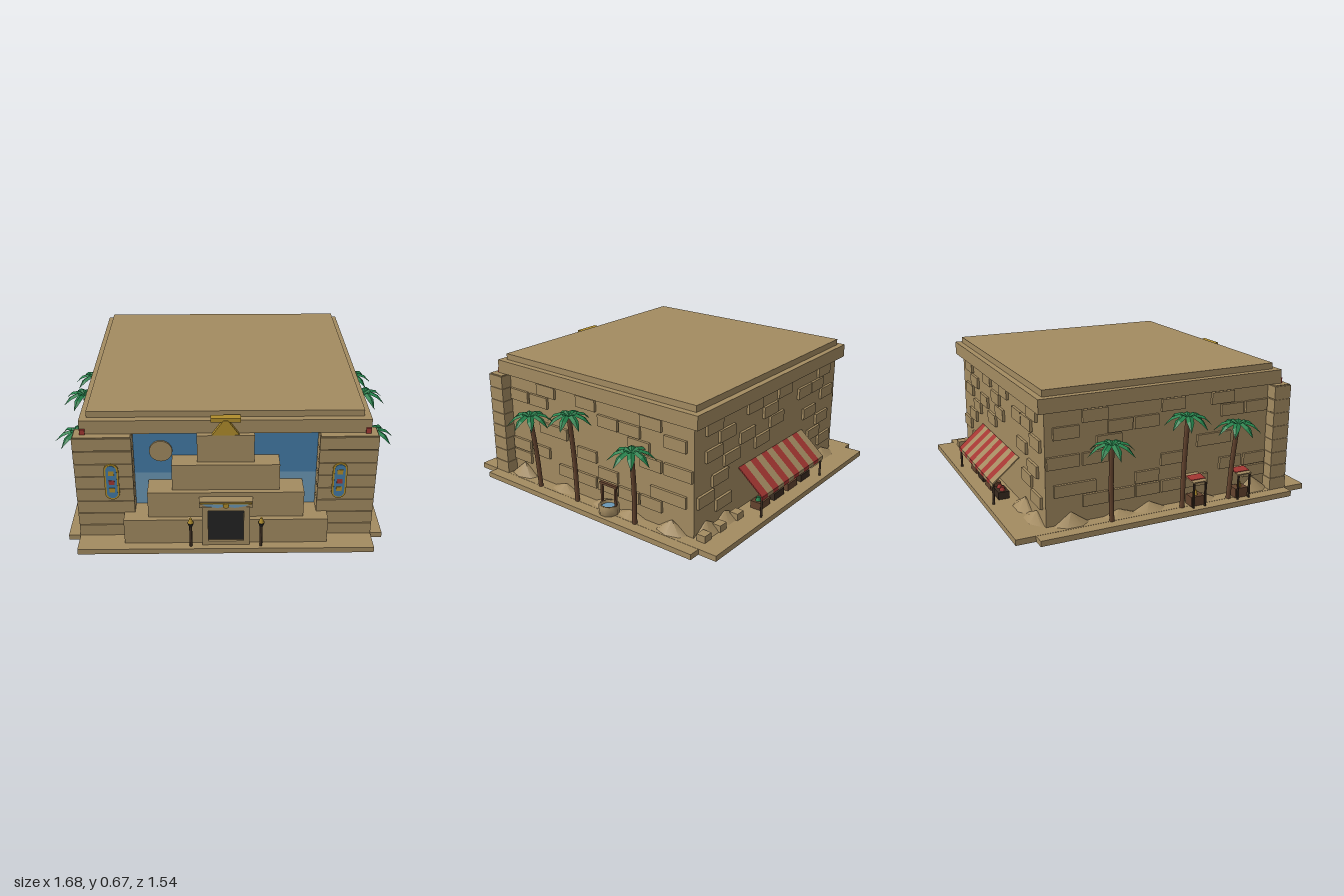
import * as THREE from 'three';

const mat = (name, color, double = false) => {
  const m = new THREE.MeshStandardMaterial({ color, side: double ? THREE.DoubleSide : THREE.FrontSide });
  m.name = name;
  return m;
};

export function createModel() {
  const sand = mat('sandstone', 0xa38b61, true);
  const blue = mat('deep blue', 0x437ba6);
  const pale = mat('pale blue', 0x6b98b6);
  const gold = mat('gold', 0xb08d2c);
  const red = mat('red', 0xa33632, true);
  const brown = mat('wood', 0x63432e);
  const dark = mat('dark wood', 0x3a2c20);
  const black = mat('black', 0x232323);
  const green = mat('palm green', 0x23804a, true);

  const root = new THREE.Group();
  const group = (name, parent = root) => {
    const g = new THREE.Group();
    g.name = name;
    parent.add(g);
    return g;
  };
  const add = (parent, name, geo, m, x = 0, y = 0, z = 0) => {
    const mesh = new THREE.Mesh(geo, m);
    mesh.name = name;
    mesh.position.set(x, y, z);
    parent.add(mesh);
    return mesh;
  };
  // Box given by its lower and upper corners
  const box = (parent, name, m, x0, x1, y0, y1, z0, z1) =>
    add(parent, name, new THREE.BoxGeometry(x1 - x0, y1 - y0, z1 - z0), m,
      (x0 + x1) / 2, (y0 + y1) / 2, (z0 + z1) / 2);
  const cyl = (parent, name, m, r0, r1, h, x, y, z, n = 8) =>
    add(parent, name, new THREE.CylinderGeometry(r1, r0, h, n), m, x, y + h / 2, z);

  // Base, hall and roof
  box(root, 'baseLong', sand, -0.70, 0.70, 0, 0.028, -0.765, 0.78);
  box(root, 'baseWide', sand, -0.757, 0.757, 0, 0.027, -0.67, 0.665);
  box(root, 'hall', sand, -0.64, 0.64, 0.02, 0.58, -0.6, 0.585);
  box(root, 'cornice', sand, -0.667, 0.667, 0.568, 0.636, -0.635, 0.63);
  box(root, 'roofSlab', sand, -0.635, 0.635, 0.636, 0.667, -0.605, 0.597);

  // Painted wall behind the steps
  box(root, 'paintedWallUpper', blue, -0.44, 0.44, 0.335, 0.57, 0.585, 0.592);
  box(root, 'paintedWallLower', pale, -0.44, 0.44, 0.025, 0.335, 0.585, 0.592);
  const sun = add(root, 'sunDisc', new THREE.CylinderGeometry(0.054, 0.054, 0.012, 24), sand, -0.302, 0.457, 0.596);
  sun.rotation.x = Math.PI / 2;

  // Stepped front
  [[0.48, 0.16, 0.733], [0.365, 0.295, 0.707], [0.25, 0.43, 0.682], [0.132, 0.57, 0.655]].forEach(([w, h, z], i, all) =>
    box(root, 'frontStep', sand, -w, w, i ? all[i - 1][1] : 0.025, h, 0.58, z));

  // Corner towers in stone courses, each with a painted panel
  const pill = (r, half) => {
    const s = new THREE.Shape();
    s.absarc(0, half, r, 0, Math.PI);
    s.absarc(0, -half, r, Math.PI, Math.PI * 2);
    return s;
  };
  const plate = (shape, depth) => new THREE.ExtrudeGeometry(shape, { depth, bevelEnabled: false, curveSegments: 6 });
  for (const s of [-1, 1]) {
    const tower = group(s > 0 ? 'towerLeft' : 'towerRight');
    box(tower, 'core', sand, s * 0.565 - 0.131, s * 0.565 + 0.131, 0.025, 0.567, 0.578, 0.662);
    const step = 0.542 / 8;
    for (let i = 0; i < 8; i++)
      box(tower, 'course', sand, s * 0.565 - 0.135, s * 0.565 + 0.135, 0.025 + i * step,
        0.025 + (i + 1) * step - 0.005, 0.574, 0.667);
    add(tower, 'panelRim', plate(pill(0.034, 0.063), 0.006), gold, s * 0.53, 0.335, 0.667);
    add(tower, 'panel', plate(pill(0.025, 0.063), 0.002), blue, s * 0.53, 0.335, 0.673);
    [[0.05, gold], [0.033, null], [0, red], [-0.042, gold]].forEach(([dy, m]) => m &&
      box(tower, 'inlay', m, s * 0.53 - 0.013, s * 0.53 + 0.013, 0.322 + dy, 0.346 + dy, 0.674, 0.678));
    box(tower, 'redMarker', red, s * 0.653 - 0.012, s * 0.653 + 0.012, 0.567, 0.594, 0.61, 0.638);
  }

  // Doorway with winged lintel
  const door = group('doorway');
  for (const s of [-1, 1]) box(door, 'jamb', sand, s * 0.097 - 0.014, s * 0.097 + 0.014, 0.025, 0.24, 0.72, 0.752);
  box(door, 'header', sand, -0.111, 0.111, 0.224, 0.245, 0.72, 0.752);
  box(door, 'threshold', sand, -0.111, 0.111, 0.025, 0.05, 0.72, 0.75);
  box(door, 'door', black, -0.083, 0.083, 0.05, 0.224, 0.73, 0.74);
  box(door, 'lintel', sand, -0.125, 0.125, 0.24, 0.273, 0.70, 0.75);
  for (const s of [-1, 1]) {
    const wing = new THREE.Shape([[0, 0.25], [0.04, 0.242], [0.09, 0.25], [0.12, 0.268], [0, 0.264]]
      .map(([x, y]) => new THREE.Vector2(s * x, y)));
    add(door, 'wing', plate(wing, 0.004), pale, 0, 0, 0.75);
    box(door, 'wingTrim', gold, Math.min(0, s * 0.12), Math.max(0, s * 0.12), 0.263, 0.268, 0.75, 0.757);
  }
  const disc = add(door, 'lintelDisc', new THREE.CylinderGeometry(0.014, 0.014, 0.008, 12), gold, 0, 0.255, 0.755);
  disc.rotation.x = Math.PI / 2;

  // Torches
  for (const s of [-1, 1]) {
    const t = group('torch');
    cyl(t, 'pole', dark, 0.007, 0.007, 0.13, s * 0.165, 0.025, 0.757);
    cyl(t, 'bowl', black, 0.008, 0.016, 0.022, s * 0.165, 0.14, 0.757);
    cyl(t, 'flame', gold, 0.014, 0.005, 0.025, s * 0.165, 0.162, 0.757);
  }

  // Golden roof emblem
  const emblem = group('emblem');
  const fan = new THREE.Shape();
  fan.moveTo(-0.068, 0.562);
  fan.lineTo(0.068, 0.562);
  fan.lineTo(0.01, 0.645);
  fan.lineTo(-0.01, 0.645);
  add(emblem, 'fan', plate(fan, 0.02), gold, 0, 0, 0.632);
  box(emblem, 'bar', gold, -0.068, 0.068, 0.636, 0.656, 0.615, 0.65);

  // Raised bricks: [centre along the wall, centre height, length]
  const sideBricks = [[0.31, 0.53], [0.04, 0.53], [-0.36, 0.53], [0.505, 0.465], [0.365, 0.465], [-0.1, 0.465],
    [-0.235, 0.465], [-0.5, 0.465], [0.235, 0.33], [-0.36, 0.33], [-0.545, 0.33, 0.1], [0.04, 0.265], [0.505, 0.195],
    [0.365, 0.195], [-0.095, 0.195], [-0.5, 0.195], [-0.42, 0.195], [0.175, 0.13], [0.045, 0.13], [-0.09, 0.13],
    [-0.225, 0.13], [-0.36, 0.13], [0.505, 0.13], [-0.5, 0.33], [0.3, 0.33], [-0.29, 0.4]];
  const backBricks = [[-0.5, 0.53], [-0.1, 0.53], [0.17, 0.53], [0.5, 0.53], [-0.43, 0.465], [-0.3, 0.465],
    [0.03, 0.465], [0.4, 0.465], [-0.54, 0.4], [-0.03, 0.4], [0.23, 0.4], [0.5, 0.4], [-0.36, 0.335], [0.1, 0.335],
    [0.36, 0.335], [-0.5, 0.265], [0.45, 0.265], [0.56, 0.195], [-0.42, 0.195], [0.42, 0.13], [-0.54, 0.13]];
  const bricks = group('wallBricks');
  for (const [a, y, w = 0.124] of sideBricks)
    for (const s of [-1, 1])
      add(bricks, 'sideBrick', new THREE.BoxGeometry(0.022, 0.058, w), sand, s * 0.642, y, a);
  for (const [a, y] of backBricks)
    add(bricks, 'backBrick', new THREE.BoxGeometry(0.124, 0.058, 0.022), sand, a, y, -0.602);

  // Sand drifts along the walls
  const drift = (x, z, along, across, h, turn) => {
    const d = add(root, 'sandDrift', new THREE.ConeGeometry(1, 1, 7), sand, x, 0.025 + h / 2, z);
    d.scale.set(along, h, across);
    d.rotation.y = turn;
  };
  for (const s of [-1, 1])
    [[0.5, 0.07], [0.2, 0.035], [-0.08, 0.04], [-0.24, 0.03], [-0.48, 0.06]].forEach(([z, h]) =>
      drift(s * 0.645, z, 0.09, 0.055, h, Math.PI / 2));
  [-0.53, -0.38, 0.4, 0.55].forEach((x, i) => drift(x, -0.605, 0.1, 0.06, 0.045 + 0.012 * (i % 2), 0));

  // One folded, drooping frond pointing along +x
  const frondGeo = () => {
    const rows = [[0, 0, 0.006], [0.035, 0.016, 0.017], [0.075, 0.002, 0.017], [0.114, -0.042, 0]];
    const pos = [], index = [];
    rows.forEach(([r, y, w], i) => {
      pos.push(r, y - w * 0.5, -w, r, y, 0, r, y - w * 0.5, w);
      if (i) for (const k of [0, 1]) {
        const a = (i - 1) * 3 + k, b = i * 3 + k;
        index.push(a, a + 1, b, b, a + 1, b + 1);
      }
    });
    let g = new THREE.BufferGeometry();
    g.setAttribute('position', new THREE.Float32BufferAttribute(pos, 3));
    g.setIndex(index);
    g = g.toNonIndexed();
    g.computeVertexNormals();
    return g;
  };
  const frond = frondGeo();

  // Palms on both sides
  for (const s of [-1, 1])
    [[0.345, 0.33, 0.415], [0.07, 0.07, 0.485], [-0.315, -0.3, 0.405]].forEach(([z, zBase, h], i) => {
      const palm = group('palm');
      const path = new THREE.CatmullRomCurve3([new THREE.Vector3(s * 0.697, 0.025, zBase),
        new THREE.Vector3(s * 0.705, h * 0.5, (z + zBase) / 2), new THREE.Vector3(s * 0.728, h, z)]);
      add(palm, 'trunk', new THREE.TubeGeometry(path, 6, 0.012, 7), brown);
      const crown = group('crown', palm);
      crown.position.set(s * 0.728, h, z);
      for (let k = 0; k < 8; k++)
        add(crown, 'frond', frond, green).rotation.y = k * Math.PI / 4 + i * 0.3 + 0.1;
    });

  // Well on the left side
  const well = group('well');
  const ring = new THREE.LatheGeometry([[0.036, 0.025], [0.05, 0.025], [0.05, 0.072], [0.036, 0.072], [0.036, 0.025]]
    .map(([x, y]) => new THREE.Vector2(x, y)), 10);
  add(well, 'ring', ring, sand, 0.69, 0, -0.133);
  cyl(well, 'water', pale, 0.037, 0.037, 0.035, 0.69, 0.025, -0.133, 10);
  for (const s of [-1, 1]) box(well, 'post', brown, 0.682, 0.694, 0.025, 0.17, -0.133 + s * 0.043 - 0.005, -0.133 + s * 0.043 + 0.005);
  box(well, 'crossbar', brown, 0.68, 0.696, 0.166, 0.178, -0.186, -0.08);

  // Striped awning on the back: slanted cloth strips, valance and poles
  const market = group('backAwning');
  const strips = 12, span = 0.59, w = span / strips;
  const slope = Math.hypot(0.135, 0.115);
  for (let i = 0; i < strips; i++) {
    const x = -0.297 + (i + 0.5) * w;
    const m = i % 2 ? red : sand;
    const cloth = add(market, 'awningStrip', new THREE.BoxGeometry(w, 0.006, slope), m, x, 0.193, -0.669);
    cloth.rotation.x = -Math.atan2(0.115, 0.135);
    box(market, 'valance', m, x - w / 2, x + w / 2, 0.118, 0.137, -0.739, -0.734);
  }
  for (const s of [-1, 1]) cyl(market, 'pole', dark, 0.006, 0.006, 0.11, s * 0.285, 0.025, -0.732, 6);
  // Goods under the awning
  [-0.2, -0.07, 0.06, 0.19].forEach((x, i) => {
    box(market, 'crate', i % 2 ? brown : dark, x - 0.045, x + 0.045, 0.025, 0.065, -0.695, -0.64);
    for (const d of [-0.02, 0.02]) cyl(market, 'goods', [red, gold, sand, green][i], 0.015, 0.009, 0.018, x + d, 0.065, -0.667, 7);
  });
  [0.36, 0.5, 0.62].forEach(x => box(market, 'stoneBlock', sand, x - 0.025, x + 0.025, 0.025, 0.062, -0.665, -0.62));

  // Two small stalls on the right side
  for (const z of [0.145, 0.395]) {
    const stall = group('sideStall');
    box(stall, 'counter', brown, -0.715, -0.66, 0.025, 0.075, z - 0.035, z + 0.035);
    for (const s of [-1, 1]) box(stall, 'post', dark, -0.735, -0.726, 0.025, 0.155, z + s * 0.032 - 0.004, z + s * 0.032 + 0.004);
    const top = box(stall, 'canopy', sand, -0.737, -0.642, 0.158, 0.164, z - 0.038, z + 0.038);
    top.rotation.z = 0.12;
    const cloth = box(stall, 'redCloth', red, -0.715, -0.665, 0.163, 0.167, z - 0.039, z + 0.039);
    cloth.rotation.z = 0.12;
    cyl(stall, 'jar', gold, 0.012, 0.008, 0.025, -0.69, 0.075, z, 7);
  }

  return root;
}
